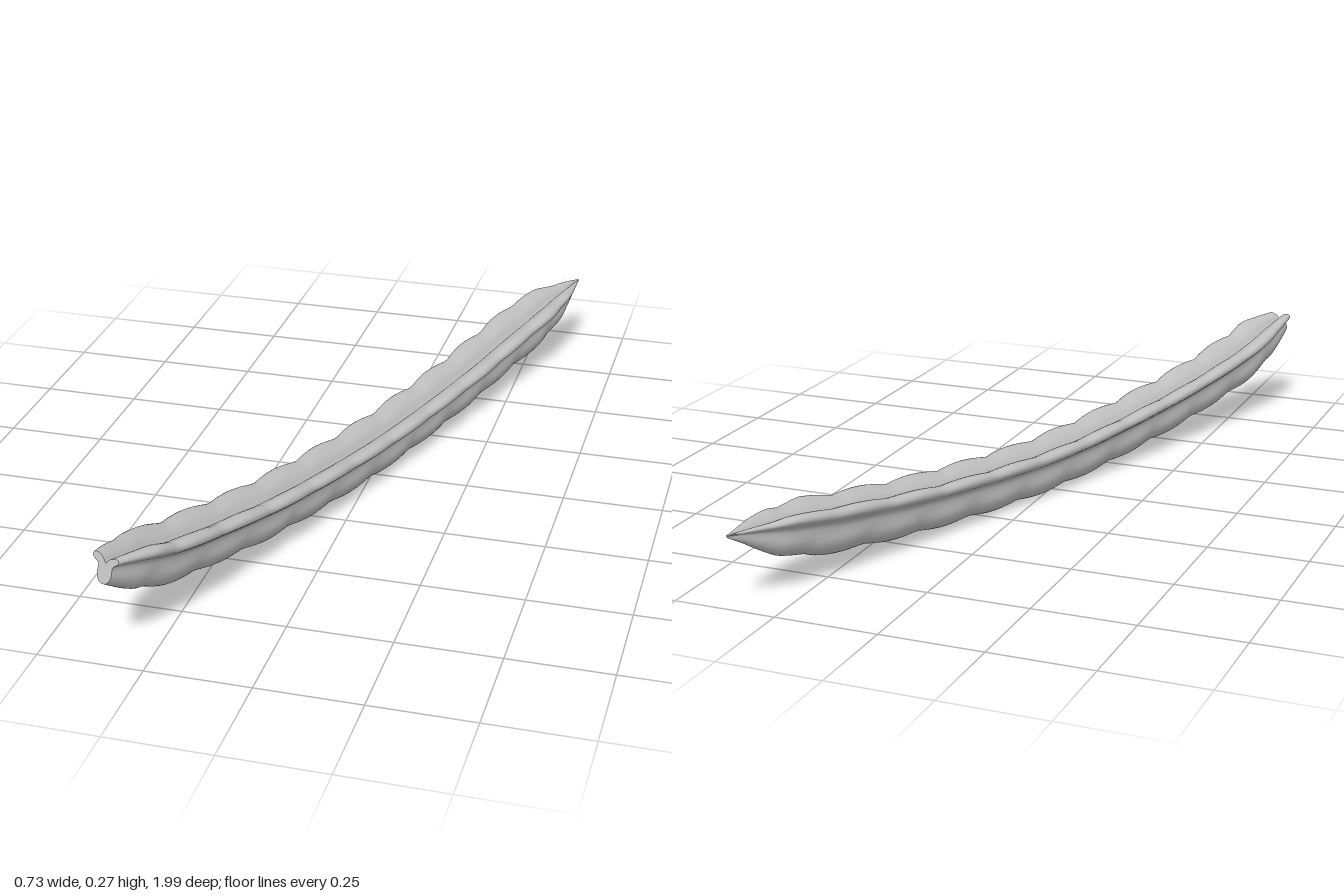
import * as THREE from 'three';

const RINGS = 132;
const SIDES = 60;

// Half of the three-lobed cross-section, from the top groove round to the keel: [u, v, lobe]
// lobe 0 = groove, 1 = upper wing, 2 = keel
const HALF = [
  [0, 0.026, 0], [0.014, 0.043, 0], [0.03, 0.054, 1], [0.05, 0.06, 1], [0.065, 0.055, 1],
  [0.068, 0.043, 1], [0.055, 0.03, 1], [0.038, 0.018, 0],
  [0.036, 0.0, 0], [0.037, -0.022, 2], [0.03, -0.043, 2], [0.016, -0.058, 2], [0, -0.062, 2],
];

// Overall size along the pod: blunt stem end, full body, pointed tip
const SIZE = [[0, 0.53], [0.05, 0.92], [0.1, 1], [0.88, 1], [0.93, 0.8], [0.965, 0.45], [1, 0.03]];

function sizeAt(t) {
  const i = Math.max(1, SIZE.findIndex(([key]) => t <= key));
  const [t0, a] = SIZE[i - 1], [t1, b] = SIZE[i];
  return THREE.MathUtils.lerp(a, b, (t - t0) / (t1 - t0));
}

// Wavy closed section at position t; the lobes swell out of step with each other
function section(t) {
  const size = sizeAt(t);
  const place = ([u, v, lobe], side) => {
    const phase = lobe === 2 ? 0.25 : side > 0 ? 0 : 0.5;
    const wave = lobe ? 1 + 0.12 * (Math.abs(Math.sin(Math.PI * (12 * t + phase))) - 0.65) : 1;
    return new THREE.Vector3(side * u * wave * size, v * wave * size, 0);
  };
  const right = HALF.map((p) => place(p, 1));
  const left = HALF.slice(1, -1).reverse().map((p) => place(p, -1));
  const loop = new THREE.CatmullRomCurve3([...right, ...left], true);
  return Array.from({ length: SIDES }, (_, j) => loop.getPoint(j / SIDES));
}

function geometryOf(points, index) {
  const g = new THREE.BufferGeometry().setFromPoints(points);
  g.setIndex(index);
  g.computeVertexNormals();
  return g;
}

export function createModel() {
  const group = new THREE.Group();
  group.name = 'lobedPod';
  const podGray = new THREE.MeshStandardMaterial({ color: 0xbfbfbf });
  podGray.name = 'podGray';

  // Bowed centre line from the stem end to the tip
  const spine = new THREE.CatmullRomCurve3([
    [-0.332, 0.235, 0.98], [-0.275, 0.168, 0.8], [-0.207, 0.126, 0.6], [-0.135, 0.096, 0.4],
    [0, 0.066, 0], [0.14, 0.08, -0.4], [0.21, 0.1, -0.6], [0.285, 0.127, -0.8], [0.36, 0.173, -1],
  ].map((p) => new THREE.Vector3(...p)));

  const up = new THREE.Vector3(0, 1, 0);
  const rings = [];
  for (let i = 0; i <= RINGS; i++) {
    const t = i / RINGS;
    const centre = spine.getPointAt(t), along = spine.getTangentAt(t);
    const side = along.clone().cross(up).normalize();
    const normal = side.clone().cross(along);
    rings.push(section(t).map((p) =>
      centre.clone().addScaledVector(side, p.x).addScaledVector(normal, p.y)));
  }

  // Skin of the pod
  const index = [];
  for (let i = 0; i < RINGS; i++) {
    for (let j = 0; j < SIDES; j++) {
      const k = (j + 1) % SIDES, a = i * SIDES, b = a + SIDES;
      index.push(a + j, a + k, b + j, a + k, b + k, b + j);
    }
  }
  const body = new THREE.Mesh(geometryOf(rings.flat(), index), podGray);
  body.name = 'podBody';
  group.add(body);

  // Flat cut at the stem end
  const capIndex = [];
  for (let j = 0; j < SIDES; j++) capIndex.push(SIDES, (j + 1) % SIDES, j);
  const cap = new THREE.Mesh(geometryOf([...rings[0], spine.getPointAt(0)], capIndex), podGray);
  cap.name = 'stemCut';
  group.add(cap);

  return group;
}
